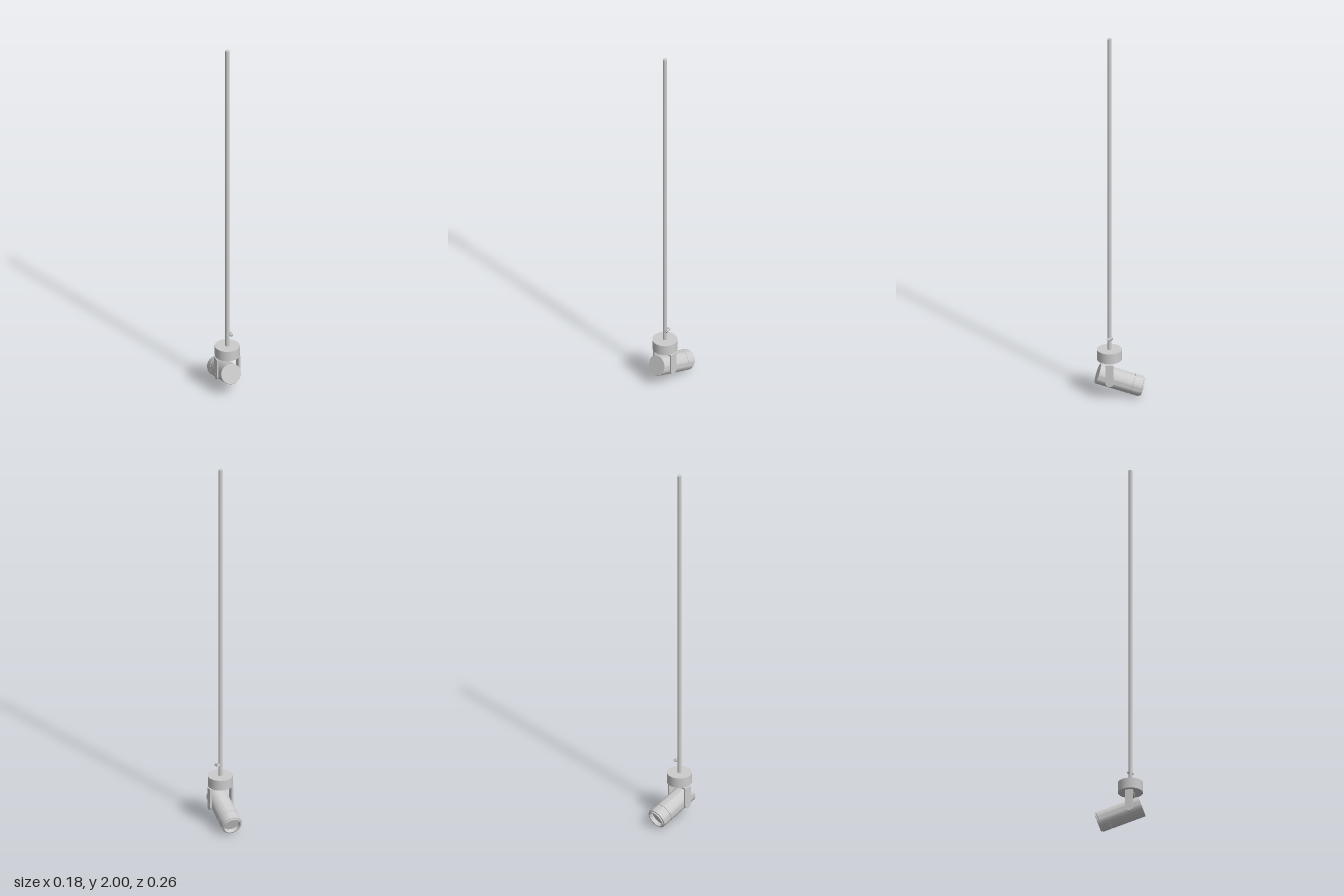
import * as THREE from 'three';
import { toCreasedNormals } from 'three/addons/utils/BufferGeometryUtils.js';

const material = new THREE.MeshStandardMaterial({ color: 0xcccccc });

function add(parent, name, geometry, x = 0, y = 0, z = 0) {
  const mesh = new THREE.Mesh(geometry, material);
  mesh.name = name;
  mesh.position.set(x, y, z);
  parent.add(mesh);
  return mesh;
}

function lathe(points, segments) {
  const profile = points.map(([r, y]) => new THREE.Vector2(r, y));
  return toCreasedNormals(new THREE.LatheGeometry(profile, segments), 0.5);
}

export function createModel() {
  const model = new THREE.Group();
  model.name = 'pendantSpotlight';

  // Everything hangs on the axis of the rod
  const lamp = new THREE.Group();
  lamp.name = 'lamp';
  lamp.position.set(-0.021, 0, 0.049);
  model.add(lamp);

  add(lamp, 'rod', new THREE.CylinderGeometry(0.0105, 0.0105, 1.75, 20), 0, 1.125, 0);
  add(lamp, 'hub', new THREE.CylinderGeometry(0.0635, 0.0635, 0.055, 32), 0, 0.2325, 0);
  add(lamp, 'swivelNeck', new THREE.CylinderGeometry(0.02, 0.02, 0.016, 20), 0, 0.2, 0);

  // Small cable clamp beside the rod
  const clamp = new THREE.Group();
  clamp.name = 'cableClamp';
  clamp.position.set(0.018, 0.324, 0.005);
  clamp.rotation.set(0.35, -0.2, 0);
  lamp.add(clamp);
  const screw = add(clamp, 'clampScrew', new THREE.CylinderGeometry(0.005, 0.005, 0.032, 12));
  screw.rotation.x = Math.PI / 2;
  for (const z of [-0.009, 0.006]) {
    const collar = add(clamp, 'clampCollar', new THREE.CylinderGeometry(0.0085, 0.0085, 0.01, 12), 0, 0, z);
    collar.rotation.x = Math.PI / 2;
  }

  // Yoke and head share one yaw
  const swivel = new THREE.Group();
  swivel.name = 'swivel';
  swivel.rotation.y = -0.4;
  lamp.add(swivel);

  add(swivel, 'yokePlate', new THREE.BoxGeometry(0.126, 0.007, 0.04), 0, 0.1925, 0);

  // Yoke arms with rounded lower ends
  const arm = new THREE.Shape();
  arm.moveTo(0.02, 0.196);
  arm.lineTo(-0.02, 0.196);
  arm.lineTo(-0.02, 0.096);
  arm.absarc(0, 0.096, 0.02, Math.PI, Math.PI * 2, false);
  arm.closePath();
  const armGeometry = new THREE.ExtrudeGeometry(arm, { depth: 0.009, bevelEnabled: false, curveSegments: 16 });
  armGeometry.translate(0, 0, -0.0045).rotateY(Math.PI / 2);
  const pivotY = 0.105;
  for (const [side, name] of [[-1, 'right'], [1, 'left']]) {
    add(swivel, name + 'YokeArm', armGeometry, side * 0.0585, 0, 0);
    const pin = add(swivel, name + 'PivotPin', new THREE.CylinderGeometry(0.008, 0.008, 0.012, 16), side * 0.0575, pivotY, 0);
    pin.rotation.z = Math.PI / 2;
  }

  // Lamp head: closed at the raised end, recessed lens at the lowered end
  const head = new THREE.Group();
  head.name = 'head';
  head.position.y = pivotY;
  head.rotation.x = -(Math.PI / 2 + 0.325);
  swivel.add(head);
  add(head, 'housing', lathe([
    [0, 0], [0.0515, 0], [0.053, 0.002], [0.053, 0.179], [0.051, 0.1795],
    [0.051, 0.1825], [0.053, 0.183], [0.053, 0.23], [0.048, 0.232], [0.048, 0.239],
    [0.042, 0.239], [0.04, 0.218], [0, 0.218],
  ], 40), 0, -0.0625, 0);

  return model;
}
